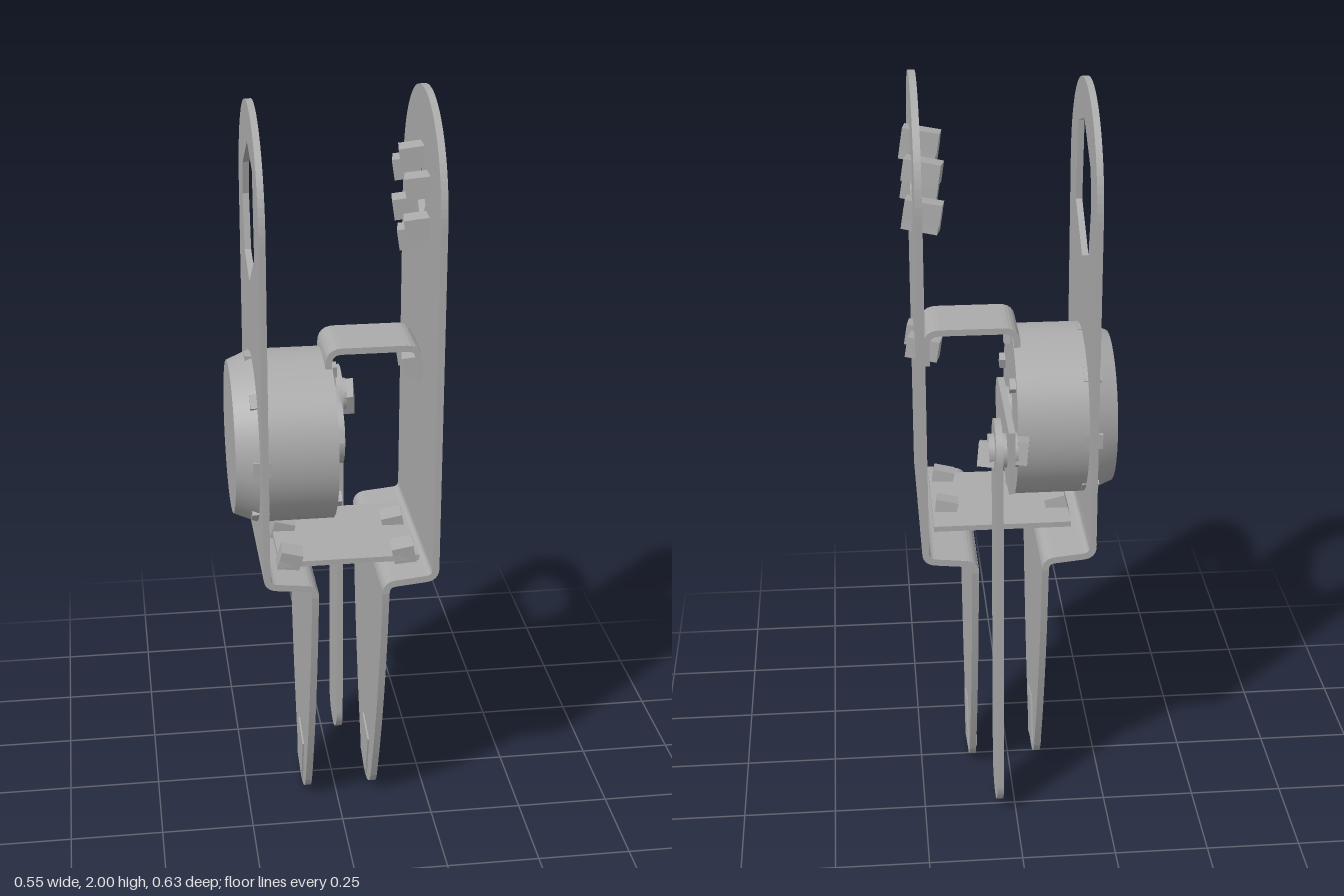
import * as THREE from 'three';

const metal = new THREE.MeshStandardMaterial({ color: 0xaaaaaa });
metal.name = 'grey metal';
const CZ = 0.034; // z of the middle of the side plates

export function createModel() {
  const root = new THREE.Group();
  const add = (name, geo, parent = root) => {
    const m = new THREE.Mesh(geo, metal);
    m.name = name;
    parent.add(m);
    return m;
  };
  const box = (name, size, pos, rot = [0, 0, 0]) => {
    const m = add(name, new THREE.BoxGeometry(...size));
    m.position.set(...pos);
    m.rotation.set(...rot);
    return m;
  };
  // Sheet lying in the side plane, drawn in (-z, y), between two x values
  const sheet = (name, shape, x0, x1) => {
    const g = new THREE.ExtrudeGeometry(shape, { depth: x1 - x0, bevelEnabled: false, curveSegments: 20 });
    g.rotateY(Math.PI / 2).translate(x0, 0, 0);
    return add(name, g);
  };
  // Cylinder along x; r0 is the radius at x0
  const rod = (name, x0, x1, r0, r1, y, z, seg) => {
    const g = new THREE.CylinderGeometry(r0, r1, x1 - x0, seg);
    g.rotateZ(Math.PI / 2).translate((x0 + x1) / 2, y, z);
    return add(name, g);
  };
  // Bent strip: centreline in (x, y) with rounded corners, extruded along z
  const strip = (name, pts, t, r, z0, z1) => {
    const v = pts.map(p => new THREE.Vector2(...p));
    const line = [v[0]];
    for (let i = 1; i < v.length - 1; i++) {
      const a = v[i - 1].clone().sub(v[i]).setLength(r).add(v[i]);
      const b = v[i + 1].clone().sub(v[i]).setLength(r).add(v[i]);
      line.push(...new THREE.QuadraticBezierCurve(a, v[i], b).getPoints(6));
    }
    line.push(v[v.length - 1]);
    const side = s => line.map((p, i) => {
      const d = line[Math.min(i + 1, line.length - 1)].clone().sub(line[Math.max(i - 1, 0)]).normalize();
      return new THREE.Vector2(p.x - d.y * s, p.y + d.x * s);
    });
    const shape = new THREE.Shape([...side(t / 2), ...side(-t / 2).reverse()]);
    const g = new THREE.ExtrudeGeometry(shape, { depth: z1 - z0, bevelEnabled: false });
    g.translate(0, 0, z0);
    return add(name, g);
  };

  // Side plates with rounded heads
  const R = 0.279;
  const plateShape = (top, hole) => {
    const s = new THREE.Shape();
    s.moveTo(-CZ - R, 0.8);
    s.lineTo(-CZ + R, 0.8);
    s.lineTo(-CZ + R, top - R);
    s.absarc(-CZ, top - R, R, 0, Math.PI, false);
    s.closePath();
    s.holes.push(new THREE.Path(hole.map(([u, y]) => new THREE.Vector2(u - CZ, y + top - R))));
    return s;
  };
  const diamond = [[0, 0.075], [-0.07, 0], [0, -0.07], [0.07, 0]];
  const bigHole = [[0, 0.18], [-0.13, 0.14], [-0.15, -0.08], [0, -0.185], [0.13, -0.14], [0.165, 0], [0.14, 0.09]];
  sheet('leftPlate', plateShape(2.0, diamond), 0.225, 0.243);
  sheet('rightPlate', plateShape(1.975, bigHole), -0.215, -0.198);

  // Tapered legs below the plates
  const leg = new THREE.Shape();
  leg.moveTo(-CZ - R, 0.745);
  leg.quadraticCurveTo(-CZ - 0.23, 0.37, -CZ - 0.1, 0.06);
  leg.bezierCurveTo(-CZ - 0.06, -0.018, -CZ + 0.06, -0.018, -CZ + 0.1, 0.06);
  leg.quadraticCurveTo(-CZ + 0.23, 0.37, -CZ + R, 0.745);
  leg.closePath();
  sheet('leftLeg', leg, 0.095, 0.113);
  sheet('rightLeg', leg, -0.09, -0.072);

  // Shelf bends joining plates and legs
  strip('leftBend', [[0.234, 0.81], [0.234, 0.775], [0.104, 0.762], [0.104, 0.735]], 0.018, 0.025, CZ - R, CZ + R);
  strip('rightBend', [[-0.2065, 0.81], [-0.2065, 0.775], [-0.081, 0.762], [-0.081, 0.735]], 0.018, 0.025, CZ - R, CZ + R);

  // Foot pads
  for (const x of [0.104, -0.081]) {
    box('footPad', [0.027, 0.14, 0.105], [x, 0.105, CZ], [0.25, 0, 0]);
  }

  // Floor plate and upper bridge bracket
  box('floorPlate', [0.37, 0.015, 0.325], [0.02, 0.793, 0.064]);
  strip('bridgeBracket', [[-0.022, 1.24], [-0.022, 1.341], [0.215, 1.341], [0.215, 1.25]], 0.017, 0.035, -0.056, 0.12);

  // Square-headed bolts
  const bolt = (name, x, y, z, i, len = 0.095) =>
    box(name, [len, 0.055, 0.055], [x, y, z], [0.06, i % 2 ? -0.2 : -0.14, 0.16]);
  for (let i = 0; i < 6; i++) {
    const a = Math.PI / 2 + i * Math.PI / 3;
    bolt('headBolt', 0.216, 1.725 + 0.105 * Math.sin(a), 0.038 + 0.108 * Math.cos(a), i);
  }
  [0.08, -0.01].forEach((z, i) => bolt('bracketBolt', 0.22, 1.287, z, i, 0.085));
  for (const x of [0.17, -0.14]) {
    for (const z of [0.198, 0.012]) {
      box('floorBolt', [0.058, 0.085, 0.055], [x, 0.785, z], [0.1, -0.05, x > 0 ? 0.22 : -0.25]);
    }
  }

  // Motor body, tapered cap, retaining clips and face screws
  const MY = 1.083, MZ = 0.032;
  rod('motorBody', -0.215, -0.012, 0.229, 0.229, MY, MZ, 48);
  rod('motorCap', -0.275, -0.215, 0.203, 0.228, MY, MZ, 32);
  for (let i = 0; i < 8; i++) {
    const a = Math.PI / 8 * (2 * i);
    box('motorClip', [0.045, 0.034, 0.04],
      [-0.21, MY + 0.214 * Math.cos(a), MZ + 0.214 * Math.sin(a)], [a, 0, 0]);
  }
  for (let i = 0; i < 6; i++) {
    const a = i * Math.PI / 3 + 0.2;
    box('faceScrew', [0.018, 0.03, 0.03],
      [-0.005, MY + 0.195 * Math.cos(a), MZ + 0.195 * Math.sin(a)], [a, 0, 0]);
  }
  rod('motorShaft', -0.015, 0.01, 0.06, 0.06, MY, MZ, 24);

  // Crank arm on the shaft
  const crank = new THREE.Shape();
  crank.moveTo(0.315, 1.0);
  crank.lineTo(0.315, 1.17);
  crank.lineTo(-MZ, 1.168);
  crank.absarc(-MZ, MY, 0.085, Math.PI / 2, Math.PI * 1.5, false);
  crank.closePath();
  sheet('crankArm', crank, 0.005, 0.022);

  // Hanging link with rounded ends
  const LZ = -0.228, LR = 0.084;
  const link = new THREE.Shape();
  link.absarc(-LZ, 1.083, LR, 0, Math.PI, false);
  link.absarc(-LZ, 0.104, LR, Math.PI, Math.PI * 2, false);
  link.closePath();
  sheet('hangingLink', link, 0.035, 0.053);

  // Pivot joining crank and link
  rod('pivotWasher', 0.053, 0.068, 0.045, 0.045, 1.083, LZ, 20);
  rod('pivotSpacer', -0.007, 0.035, 0.045, 0.045, 1.083, LZ, 20);
  box('pivotBolt', [0.045, 0.065, 0.075], [0.07, 1.075, LZ], [0.4, -0.12, 0.12]);
  box('pivotNut', [0.03, 0.06, 0.07], [-0.02, 1.083, -0.235], [0.2, -0.12, 0.1]);
  return root;
}
